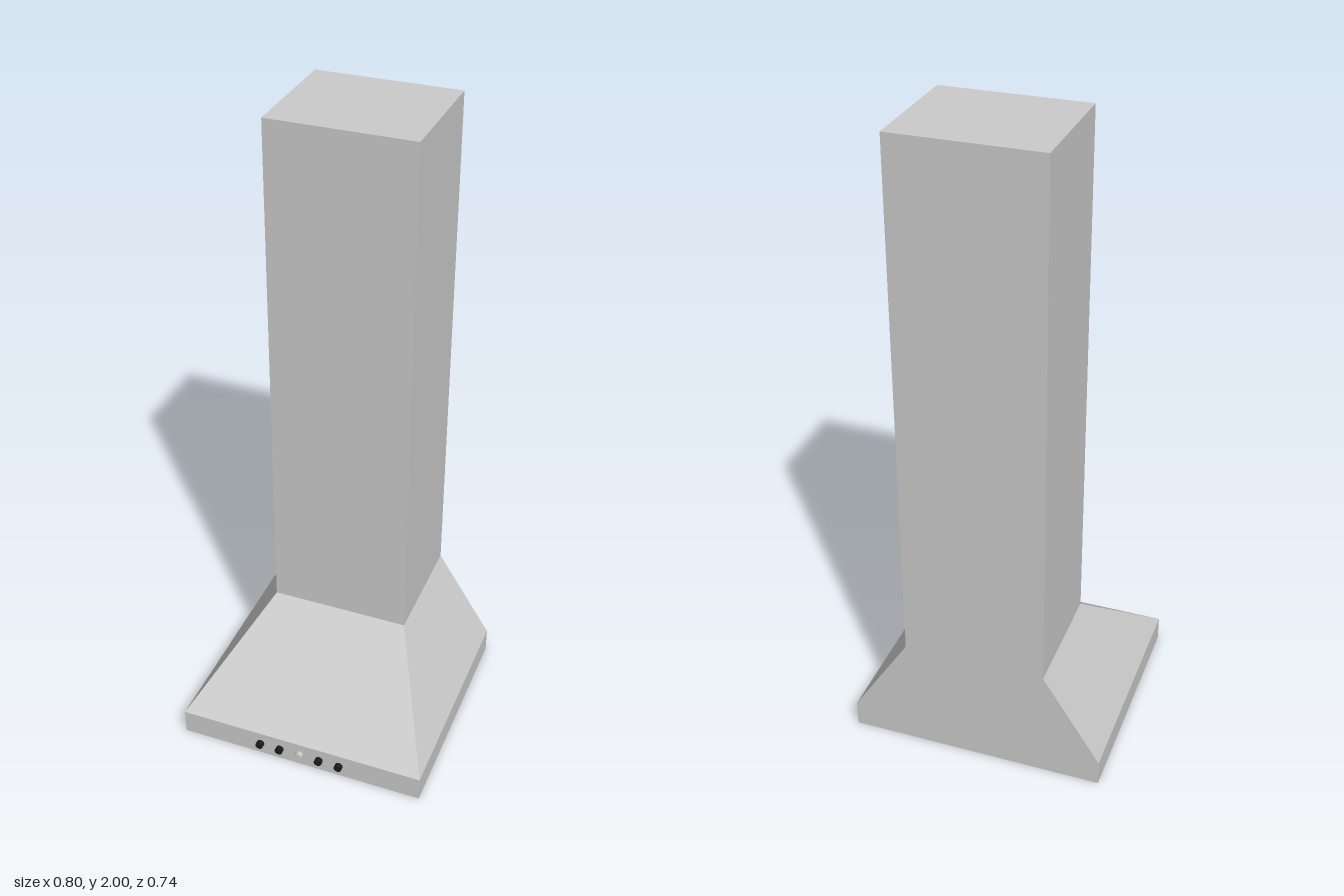
import * as THREE from 'three';

const BACK = -0.37;
const FRONT = 0.355;
const RIM = 0.025;
const RECESS = 0.05;

const steel = new THREE.MeshStandardMaterial({ color: 0xcccccc, flatShading: true });
const smoothSteel = new THREE.MeshStandardMaterial({ color: 0xcccccc });
const dark = new THREE.MeshStandardMaterial({ color: 0x1c1c1c });
const filterGrey = new THREE.MeshStandardMaterial({ color: 0x555555 });
const slotBlack = new THREE.MeshStandardMaterial({ color: 0x333333 });

function add(parent, name, geometry, material, x = 0, y = 0, z = 0) {
  const mesh = new THREE.Mesh(geometry, material);
  mesh.name = name;
  mesh.position.set(x, y, z);
  parent.add(mesh);
  return mesh;
}

// Skin through rectangular rings, each [y, halfWidth, back, front]; both ends closed
function rectLoft(rings) {
  const points = [];
  const index = [0, 1, 2, 0, 2, 3];
  rings.forEach(([y, w, b, f], r) => {
    points.push(-w, y, f, w, y, f, w, y, b, -w, y, b);
    if (r === 0) return;
    for (let i = 0; i < 4; i++) {
      const j = (i + 1) % 4;
      const up = (r - 1) * 4;
      const low = r * 4;
      index.push(low + i, low + j, up + j, low + i, up + j, up + i);
    }
  });
  const e = (rings.length - 1) * 4;
  index.push(e, e + 2, e + 1, e, e + 3, e + 2);
  const geometry = new THREE.BufferGeometry();
  geometry.setAttribute('position', new THREE.Float32BufferAttribute(points, 3));
  geometry.setIndex(index);
  const flat = geometry.toNonIndexed();
  flat.computeVertexNormals();
  return flat;
}

export function createModel() {
  const hood = new THREE.Group();
  hood.name = 'rangeHood';

  // Chimney, sloped canopy, base band and the recess underneath
  const inner = [0.4 - RIM, BACK + RIM, FRONT - RIM];
  add(hood, 'hoodBody', rectLoft([
    [2, 0.22, BACK, 0.005],
    [0.365, 0.22, BACK, 0.005],
    [0.082, 0.4, BACK, FRONT],
    [0, 0.4, BACK, FRONT],
    [0, ...inner],
    [RECESS, ...inner],
  ]), steel);

  // Two grease filters with slots, set into the recess
  const depth = FRONT - BACK - 2 * RIM;
  const midZ = (FRONT + BACK) / 2;
  const width = 0.4 - RIM;
  const rows = 4;
  const pitch = (depth - 0.06) / rows;
  for (const side of [-1, 1]) {
    const filter = new THREE.Group();
    filter.name = side > 0 ? 'leftFilter' : 'rightFilter';
    filter.position.set(side * width / 2, RECESS - 0.005, midZ);
    add(filter, 'filterPanel', new THREE.BoxGeometry(width - 0.004, 0.008, depth), filterGrey);
    for (let i = 0; i < rows; i++) {
      add(filter, 'filterSlot', new THREE.BoxGeometry(width - 0.06, 0.004, pitch * 0.72),
        slotBlack, 0, -0.003, (i - (rows - 1) / 2) * pitch);
    }
    hood.add(filter);
  }

  // Row of control buttons, with a bright one in the middle
  const button = new THREE.CylinderGeometry(0.0125, 0.0125, 0.018, 24).rotateX(Math.PI / 2);
  for (let i = -2; i <= 2; i++) {
    add(hood, i === 0 ? 'indicatorButton' : 'controlButton', button,
      i === 0 ? smoothSteel : dark, i * 0.067, 0.042, FRONT + 0.006);
  }
  return hood;
}
